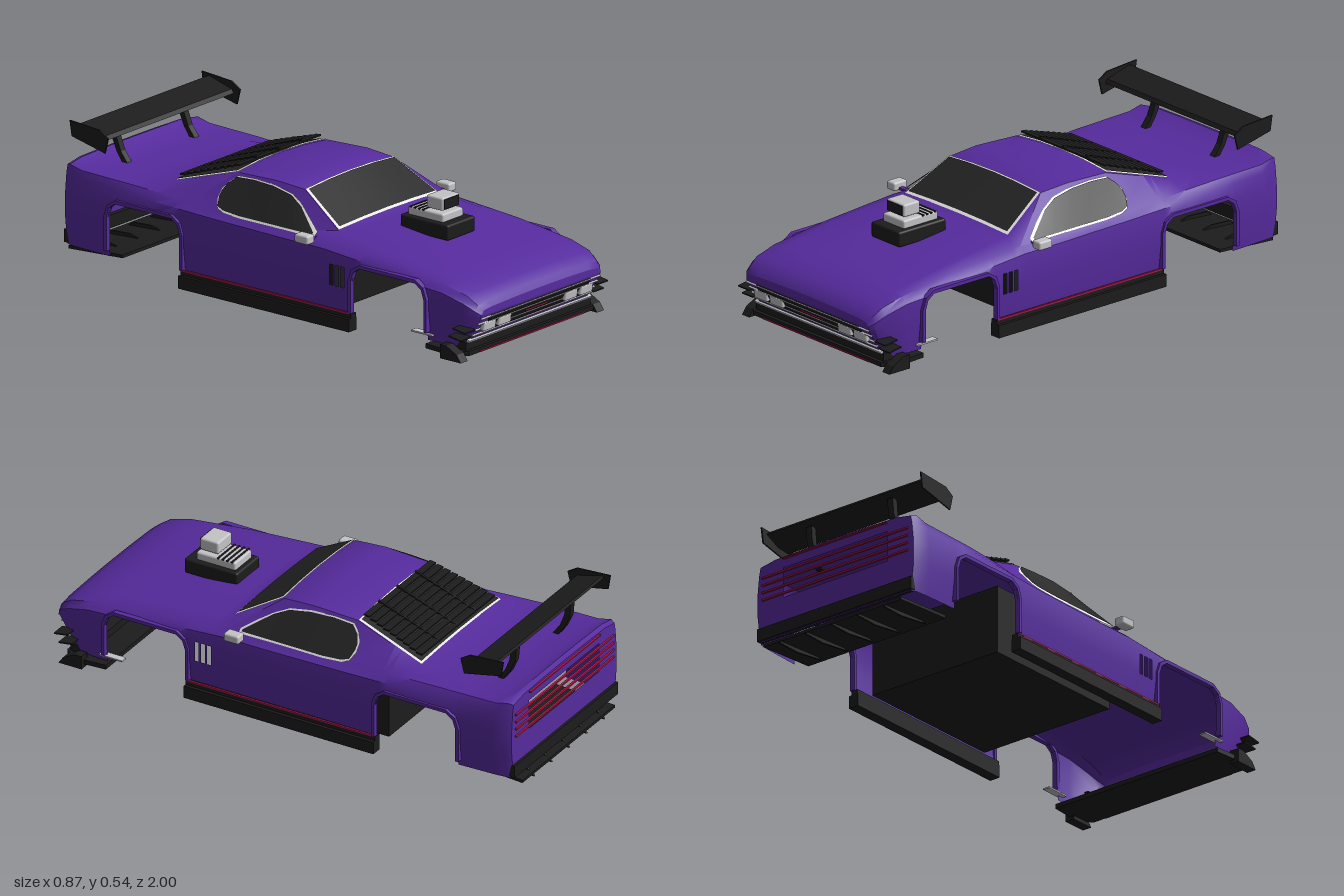
import * as THREE from 'three';
import { toCreasedNormals } from 'three/addons/utils/BufferGeometryUtils.js';
import { RoundedBoxGeometry } from 'three/addons/geometries/RoundedBoxGeometry.js';

const paint = (name, color, side = THREE.FrontSide) => {
  const m = new THREE.MeshStandardMaterial({ color, side });
  m.name = name;
  return m;
};
const clamp = THREE.MathUtils.clamp, lerp = THREE.MathUtils.lerp;

// Body stations: z, half width, shoulder y, belt x, belt y, top edge x, top edge y, centre y
const KEYS = [
  [1.0, .345, .185, .33, .195, .28, .2, .205],
  [.985, .362, .2, .345, .215, .29, .222, .228],
  [.94, .378, .225, .355, .245, .3, .25, .255],
  [.85, .388, .25, .36, .268, .31, .275, .28],
  [.6, .393, .275, .358, .3, .31, .312, .318],
  [.27, .395, .3, .36, .322, .29, .345, .352],
  [.08, .395, .3, .357, .322, .255, .456, .468],
  [-.05, .395, .302, .357, .322, .258, .464, .478],
  [-.24, .396, .305, .357, .325, .255, .456, .472],
  [-.4, .398, .31, .362, .335, .272, .408, .42],
  [-.53, .4, .315, .367, .345, .285, .368, .376],
  [-.65, .4, .32, .37, .35, .29, .358, .362],
  [-.9, .39, .325, .37, .355, .3, .36, .362],
  [-.955, .385, .33, .37, .368, .3, .38, .384],
  [-.975, .375, .33, .36, .362, .29, .374, .378],
];
function station(z) {
  let i = 0;
  while (i < KEYS.length - 2 && z < KEYS[i + 1][0]) i++;
  const a = KEYS[i], b = KEYS[i + 1], t = clamp((a[0] - z) / (a[0] - b[0]), 0, 1);
  return a.map((v, k) => lerp(v, b[k], t));
}

// Lower edge of the shell: z, y (repeated z makes a vertical arch edge)
const EDGE = [
  [.77, .045], [.77, .2], [.76, .235], [.73, .262], [.46, .262], [.43, .24], [.42, .2], [.42, .06],
  [-.4, .06], [-.4, .21], [-.41, .245], [-.44, .272], [-.71, .272], [-.74, .245], [-.75, .21], [-.75, .055],
];
const VENTS = [[.383, .366], [.356, .339], [.329, .312]];
const noseDrop = y => clamp((.17 - y) / .13, 0, 1);

function section(z, b) {
  const [, w, sy, bx, by, rx, ry, cy] = station(z);
  const y1 = Math.max(b, Math.min(.17, sy - .01)), y2 = Math.max(b, Math.min(.25, sy - .005));
  const half = [[w - .015 * noseDrop(b), b], [w, y1], [w, y2], [w - .008, sy], [bx, by],
    [rx, ry], [rx * .5, lerp(ry, cy, .75)], [0, cy]];
  const all = [...half, ...half.slice(0, 7).reverse().map(([x, y]) => [-x, y])];
  return all.map(([x, y]) => new THREE.Vector3(x, y, z - .075 * noseDrop(y) * clamp((z - .8) / .2, 0, 1)));
}

// Surface through rows of points, with optional left-out cells
function grid(rows, skip = () => false) {
  const pos = [], tri = new THREE.Triangle();
  const add = (a, b, c) => {
    tri.set(a, b, c);
    if (tri.getArea() > 1e-8) pos.push(...a, ...b, ...c);
  };
  for (let i = 0; i < rows.length - 1; i++) for (let j = 0; j < rows[i].length - 1; j++) {
    if (skip(i, j)) continue;
    const a = rows[i][j], b = rows[i][j + 1], c = rows[i + 1][j + 1], d = rows[i + 1][j];
    add(a, b, c);
    add(a, c, d);
  }
  const g = new THREE.BufferGeometry();
  g.setAttribute('position', new THREE.Float32BufferAttribute(pos, 3));
  return toCreasedNormals(g, .6);
}

// Side profile of (z, y) points given a thickness along x
function sideExtrude(pts, depth) {
  const s = new THREE.Shape(pts.map(p => new THREE.Vector2(...p)));
  return new THREE.ExtrudeGeometry(s, { depth, bevelEnabled: false }).translate(0, 0, -depth / 2).rotateY(-Math.PI / 2);
}

export function createModel() {
  const car = new THREE.Group();
  car.name = 'car';
  const purple = paint('purple paint', 0x562b9e, THREE.DoubleSide);
  const black = paint('black trim', 0x1c1c1c, THREE.DoubleSide);
  const glass = paint('dark glass', 0x242424, THREE.DoubleSide);
  const silver = paint('silver', 0xc4c4c8);
  const white = paint('white edging', 0xe8e8ea, THREE.DoubleSide);
  const red = paint('crimson accent', 0xb01848);

  const add = (name, geo, mat, x = 0, y = 0, z = 0, rx = 0) => {
    const m = new THREE.Mesh(geo, mat);
    m.name = name;
    m.position.set(x, y, z);
    m.rotation.x = rx;
    car.add(m);
    return m;
  };
  const box = (name, mat, w, h, d, x, y, z, rx) => add(name, new THREE.BoxGeometry(w, h, d), mat, x, y, z, rx);
  const round = (name, mat, w, h, d, x, y, z) => add(name, new RoundedBoxGeometry(w, h, d, 2, .008), mat, x, y, z);

  // Body shell with wheel arches and side vents
  const cuts = [...EDGE];
  const edgeY = z => z > .77 ? .045 : z < -.75 ? .055 : z < .42 && z > -.4 ? .06 : z > 0 ? .262 : .272;
  for (const z of [...KEYS.map(k => k[0]), ...VENTS.flat()])
    if (!EDGE.some(e => e[0] === z)) cuts.push([z, edgeY(z)]);
  cuts.sort((a, b) => b[0] - a[0]);
  const isVent = (i, j) => (j === 1 || j === 12) && VENTS.some(v => v[0] === cuts[i][0]);
  const rows = cuts.map(([z, b]) => section(z, b));
  add('bodyShell', grid(rows, isVent), purple);

  // Nose panel, and tail panel with its open light slot
  const nose = rows[0];
  add('nosePanel', grid([0, 1, 2, 3, 4, 5, 6, 7].map(i => [nose[i], nose[14 - i]])), purple);
  const tail = new THREE.Shape(rows[rows.length - 1].map(p => new THREE.Vector2(p.x, p.y)));
  tail.holes.push(new THREE.Path([[-.25, .21], [-.25, .33], [.25, .33], [.25, .21]].map(p => new THREE.Vector2(...p))));
  add('tailPanel', new THREE.ShapeGeometry(tail), purple, 0, 0, -.975);
  for (let i = 0; i < 4; i++) box('tailLightStripe', red, .7, .007, .008, 0, .225 + i * .03, -.978);
  box('tailLipStripe', red, .5, .005, .008, 0, .366, -.979);
  box('rearBumper', black, .74, .05, .03, 0, .085, -.97);

  // Windscreen and rear window, laid just above the shell
  const topGlass = (zs, f, lift) => grid(zs.map(z => {
    const [, , , , , rx, ry, cy] = station(z);
    return [-f, -.5, 0, .5, f].map(t => {
      const a = Math.abs(t), y = a > .5 ? lerp(lerp(ry, cy, .75), ry, (a - .5) * 2) : lerp(cy, lerp(ry, cy, .75), a * 2);
      return new THREE.Vector3(t * rx, y + lift, z + lift * Math.sign(z) * .5);
    });
  }));
  add('windscreenEdging', topGlass([.27, .08], 1, .003), white);
  add('windscreen', topGlass([.261, .087], .965, .006), glass);
  add('rearWindowEdging', topGlass([-.24, -.4, -.53], 1, .003), white);
  add('rearWindow', topGlass([-.247, -.4, -.522], .97, .006), glass);
  for (let i = 0; i < 9; i++) {
    const z = -.265 - i * .03, s = station(z);
    box('rearLouvre', black, s[5] * 1.84, .006, .026, 0, s[7] + .01, z, -.12);
  }
  for (const x of [-.13, 0, .13]) box('louvreRib', black, .008, .008, .28, x, .437, -.385, -.34);

  // Side windows: z, lower y, upper y
  const WINDOW = [[.2, .326, .332], [.1, .326, .4], [.04, .326, .428], [-.05, .326, .443], [-.15, .326, .445],
    [-.23, .331, .44], [-.26, .341, .415], [-.272, .37, .39]];
  const sideGlass = (s, grow, lift) => grid(WINDOW.map(([z, lo, hi], i) => {
    const [, , , bx, by, rx, ry] = station(z);
    return [lo - grow, hi + grow].map(y => new THREE.Vector3(
      s * (lerp(bx, rx, (y - by) / (ry - by)) + lift), y + lift * .7, z + (i === 0 ? grow * 2 : i === 7 ? -grow : 0)));
  }));

  // Parts that repeat on both sides
  const archLip = (z0, z1, top) => {
    const u = (o) => [[z0 + o, .08], [z0 + o, top - .055], [z0 - .012 + o * .7, top - .02 + o * .7], [z0 - .04, top + o],
      [z1 + .04, top + o], [z1 + .012 - o * .7, top - .02 + o * .7], [z1 - o, top - .055], [z1 - o, .08]];
    return sideExtrude([...u(.014), ...u(0).reverse()], .022);
  };
  for (const s of [1, -1]) {
    add('sideWindowEdging', sideGlass(s, .006, .004), white);
    add('sideWindow', sideGlass(s, 0, .008), glass);
    add('frontArchLip', archLip(.77, .42, .262), purple, s * .392);
    add('rearArchLip', archLip(-.4, -.75, .272), purple, s * .396);
    box('sideSkirt', black, .045, .05, .82, s * .39, .035, .01);
    box('skirtRail', black, .03, .02, .82, s * .385, .067, .01);
    box('skirtStripe', red, .008, .006, .81, s * .397, .078, .01);
    round('mirror', silver, .045, .034, .065, s * .41, .331, .205);
    box('mirrorStalk', purple, .05, .01, .02, s * .37, .322, .205);
    add('splitterEnd', sideExtrude([[.96, .002], [.94, .03], [.89, .056], [.86, .056], [.86, .002]], .04), black, s * .395, 0, 0);
    for (const [y, z] of [[.092, .93], [.125, .95]]) box('canard', black, .06, .005, .06, s * .385, y, z, .15);
    box('archBracket', silver, .03, .006, .1, s * .375, .07, .75);
  }

  // Grille, lamps and chin follow the raked nose
  const onNose = (name, mat, w, h, d, x, y, out = 0) =>
    box(name, mat, w, h / Math.cos(.52), d, x, y, 1 - .075 * noseDrop(y) + out, .52);
  onNose('grille', black, .58, .07, .009, 0, .132);
  for (const y of [.164, .141, .115, .092]) onNose('grilleBar', silver, .69, .004, .01, 0, y, .002);
  onNose('grilleStripe', red, .125, .004, .01, 0, .126, .004);
  onNose('lowerBar', silver, .71, .009, .012, 0, .07, .002);
  for (const x of [-.28, -.192, .192, .28]) {
    const lamp = round('headlight', silver, .074, .038, .045, x, .126, .968);
    lamp.rotation.x = .12;
  }
  box('chin', black, .72, .035, .07, 0, .046, .905);
  const split = new THREE.Shape([[-.39, .77], [.39, .77], [.4, .9], [.36, .955], [-.36, .955], [-.4, .9]]
    .map(p => new THREE.Vector2(...p)));
  add('splitter', new THREE.ExtrudeGeometry(split, { depth: .018, bevelEnabled: false }).rotateX(Math.PI / 2), black, 0, .034, 0);
  box('splitterStripe', red, .6, .005, .008, 0, .019, .954);

  // Floor pan and rear diffuser
  box('floorPan', black, .6, .27, .65, 0, .165, -.075);
  box('diffuser', black, .66, .012, .26, 0, .036, -.865, -.06);
  for (let i = -2; i <= 2; i++)
    add('diffuserFin', sideExtrude([[-.76, .03], [-.87, .055], [-.96, .05], [-1, .015], [-.9, .012]], .008), black, i * .125);

  // Supercharger through the bonnet
  round('blowerBase', black, .16, .06, .23, 0, .352, .505);
  round('blowerBody', silver, .12, .036, .17, 0, .395, .495);
  for (let i = 0; i < 4; i++) box('blowerFin', black, .124, .006, .008, 0, .412, .425 + i * .02);
  round('scoop', silver, .1, .05, .08, 0, .445, .53);
  box('scoopMouth', black, .084, .038, .006, 0, .445, .57);

  // Rear wing
  add('wingBlade', sideExtrude([[-.79, .49], [-.8, .505], [-.91, .535], [-.915, .525], [-.85, .495]], .76), black);
  for (const s of [1, -1]) {
    add('wingEndPlate', sideExtrude([[-.76, .51], [-.8, .535], [-.945, .545], [-.935, .485], [-.775, .45]], .006), black, s * .382);
    add('wingPost', sideExtrude([[-.81, .355], [-.845, .4], [-.865, .45], [-.87, .51], [-.895, .51], [-.89, .45],
      [-.865, .395], [-.835, .355]], .026), black, s * .195);
  }
  return car;
}
